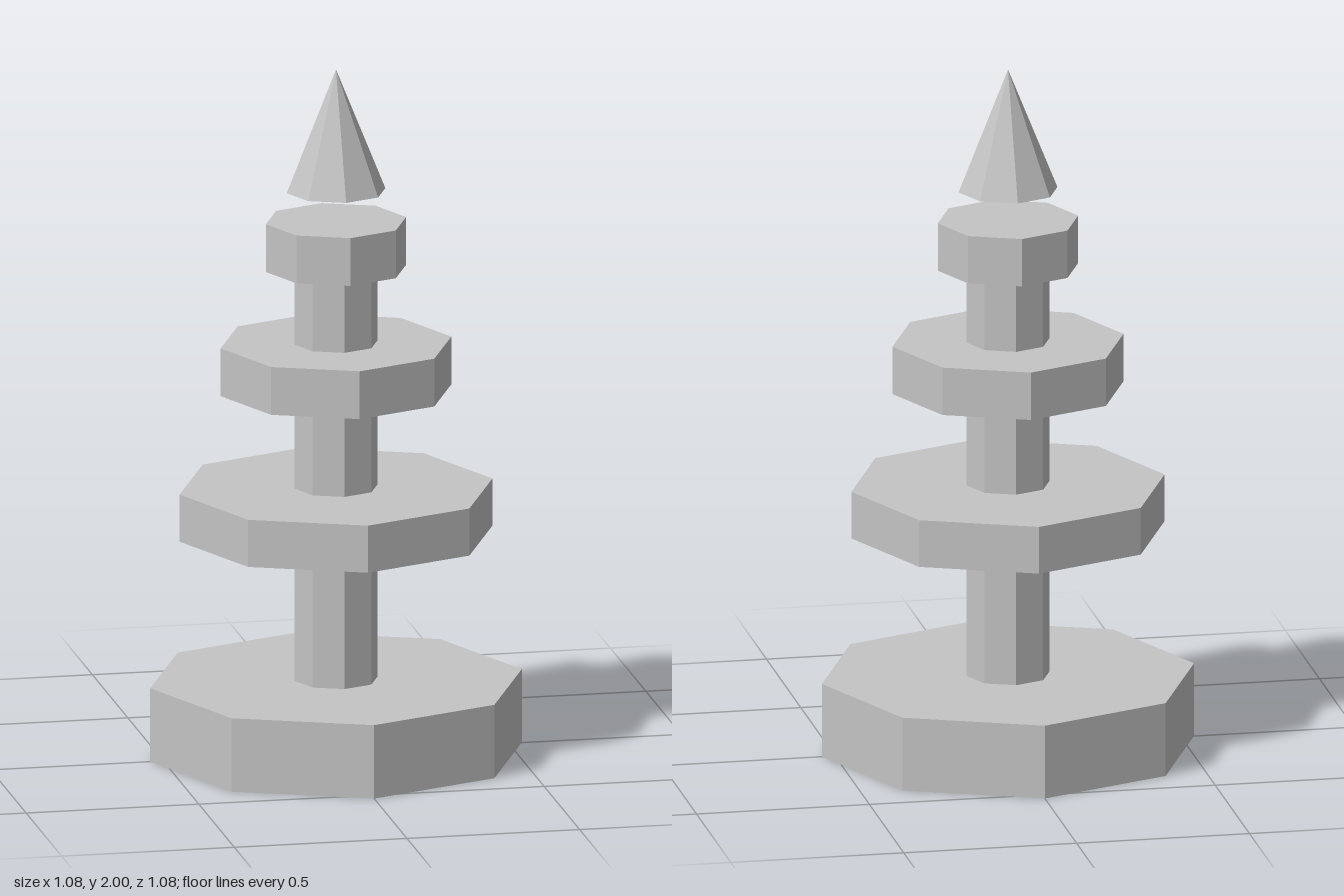
import * as THREE from 'three';

const SIDES = 8;

export function createModel() {
  const model = new THREE.Group();
  model.name = 'tieredTower';

  const stone = new THREE.MeshStandardMaterial({ color: 0xc4c4c4 });
  stone.name = 'light grey stone';
  stone.flatShading = true;

  // Octagonal prism or cone between two heights, corners on the x and z axes
  function addPart(name, bottomRadius, topRadius, y0, y1) {
    const geometry = new THREE.CylinderGeometry(topRadius, bottomRadius, y1 - y0, SIDES);
    const mesh = new THREE.Mesh(geometry, stone);
    mesh.name = name;
    mesh.position.y = (y0 + y1) / 2;
    model.add(mesh);
  }

  addPart('base', 0.538, 0.538, 0, 0.215);
  addPart('column', 0.12, 0.12, 0.215, 1.417);

  // Tiers shrink towards the top
  const tiers = [
    ['lowerTier', 0.453, 0.64, 0.778],
    ['middleTier', 0.334, 1.06, 1.2],
    ['upperTier', 0.203, 1.417, 1.557],
  ];
  for (const [name, radius, y0, y1] of tiers) addPart(name, radius, radius, y0, y1);

  // Floating pointed finial
  addPart('spire', 0.143, 0, 1.645, 2);

  return model;
}
